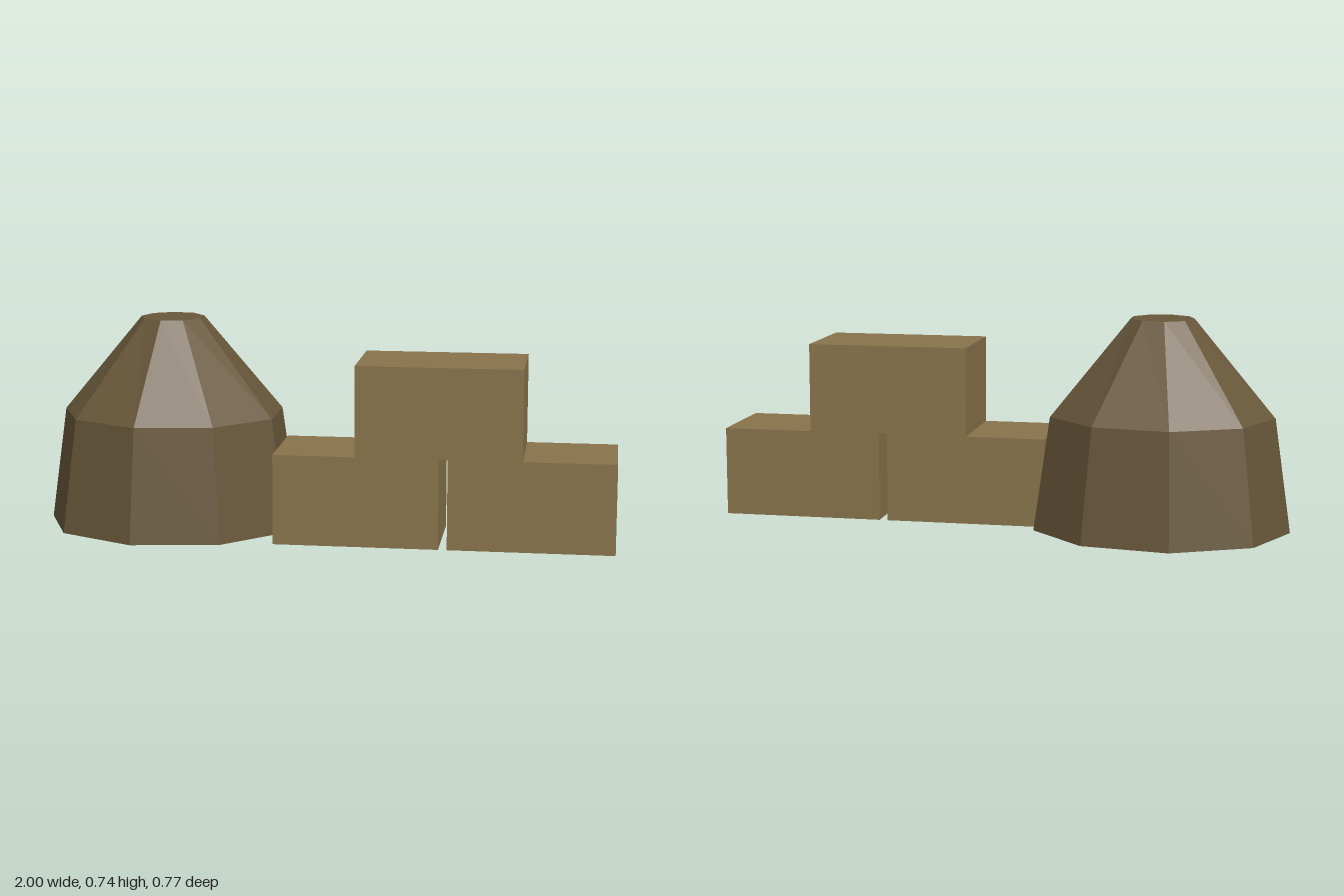
import * as THREE from 'three';

export function createModel() {
  const model = new THREE.Group();
  const darkHay = new THREE.MeshStandardMaterial({ color: 0x68573a });
  darkHay.name = 'darkHay';
  const strawBrown = new THREE.MeshStandardMaterial({ color: 0x88744b });
  strawBrown.name = 'strawBrown';

  const add = (name, geometry, material, x, y, z) => {
    const mesh = new THREE.Mesh(geometry, material);
    mesh.name = name;
    mesh.position.set(x, y, z);
    model.add(mesh);
  };

  // Haystack: nine-sided profile, narrowed front to back below its round top
  const profile = [[0, 0.005], [0.448, 0.005], [0.391, 0.4], [0.111, 0.735], [0, 0.735]]
    .map(([r, y]) => new THREE.Vector2(r, y));
  const lathe = new THREE.LatheGeometry(profile, 9, -Math.PI / 2);
  const pos = lathe.attributes.position;
  for (let i = 0; i < pos.count; i++) {
    if (pos.getY(i) < 0.5) pos.setZ(i, pos.getZ(i) * 0.867);
  }
  const stack = lathe.toNonIndexed(); // separate faces for crisp facets
  stack.computeVertexNormals();
  add('haystack', stack, darkHay, -0.552, 0, 0);

  // Bales: two on the ground with a narrow gap, one across the top
  const bale = new THREE.BoxGeometry(0.563, 0.31, 0.337);
  const bales = [
    ['rightBale', 0.126, 0.155],
    ['leftBale', 0.7185, 0.155],
    ['topBale', 0.405, 0.465],
  ];
  for (const [name, x, y] of bales) add(name, bale, strawBrown, x, y, 0.1135);

  return model;
}
